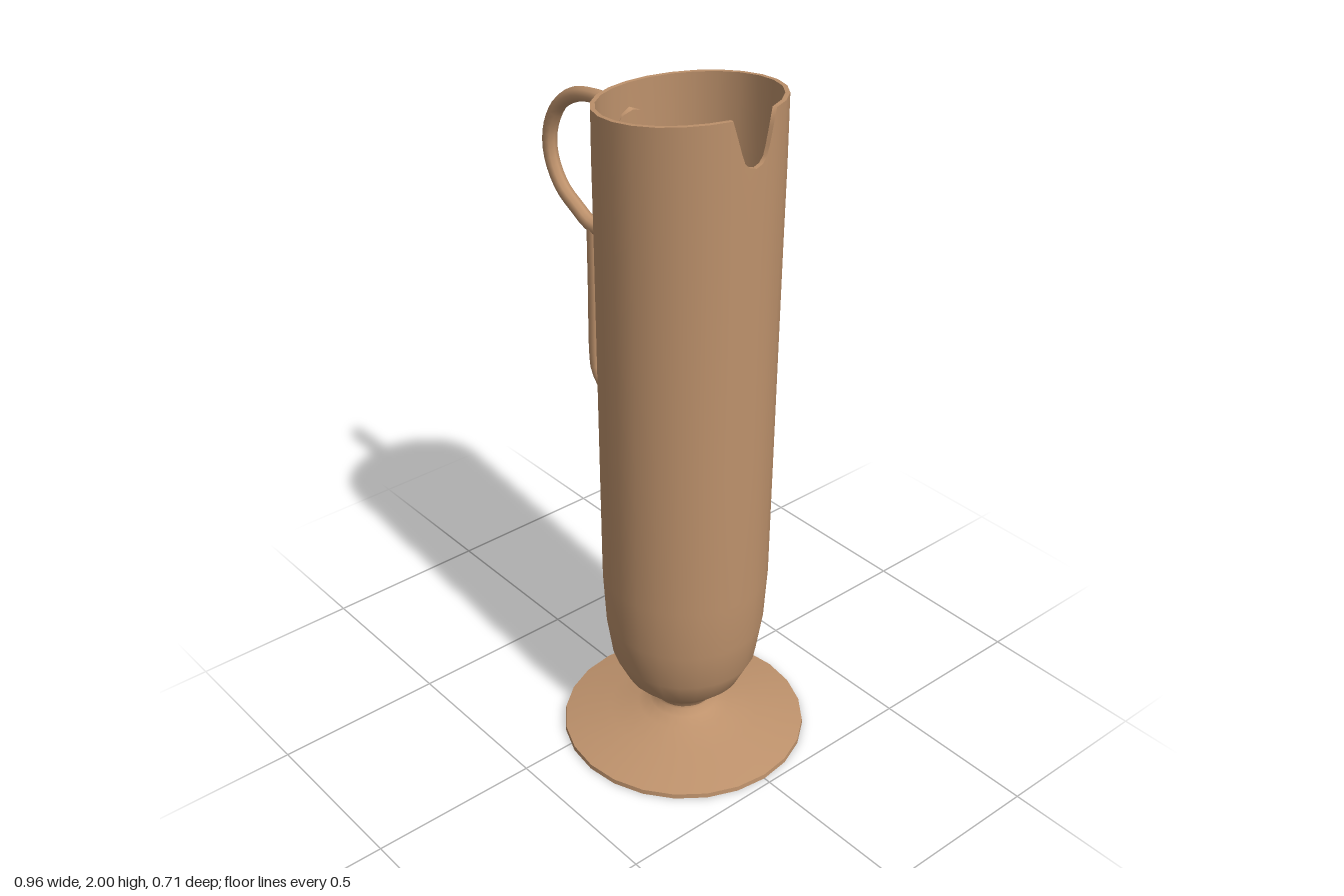
import * as THREE from 'three';

const AXIS_X = 0.122; // vessel axis; the handle fills the other side
const RIM_R = 0.246;
const TOP = 2; // profile height that stands for "follow the rim"

// Pouring notch outline: [half width, height]
const NOTCH = [[0, 1.865], [0.02, 1.871], [0.035, 1.885], [0.044, 1.91], [0.057, 1.955], [0.07, 2.0]];

// Angles round the axis, measured from +x: dense in the notch, 15 degrees elsewhere
const notchAngles = NOTCH.map(([w]) => Math.asin(w / RIM_R));
const ANGLES = [...notchAngles];
for (let d = 30; d <= 330; d += 15) ANGLES.push(THREE.MathUtils.degToRad(d));
for (let i = NOTCH.length - 1; i >= 0; i--) ANGLES.push(Math.PI * 2 - notchAngles[i]);

// Height of the rim in a given column: notch outline or slanted cut
function rimHeight(col) {
  const k = Math.min(col, ANGLES.length - 1 - col);
  if (k < NOTCH.length) return NOTCH[k][1];
  return 1.973 + 0.116 * RIM_R * Math.cos(ANGLES[col]);
}

// Lathe whose columns sit at ANGLES and whose top row follows the rim
function spin(profile) {
  const pts = profile.map(([r, y]) => new THREE.Vector2(r, y));
  const g = new THREE.LatheGeometry(pts, ANGLES.length - 1);
  const pos = g.attributes.position, nor = g.attributes.normal;
  for (let i = 0; i < pos.count; i++) {
    const col = Math.floor(i / pts.length);
    const [r, y] = profile[i % pts.length];
    const s = Math.sin(ANGLES[col] + Math.PI / 2), c = Math.cos(ANGLES[col] + Math.PI / 2);
    const n = Math.hypot(nor.getX(i), nor.getZ(i));
    pos.setXYZ(i, r * s, y === TOP ? rimHeight(col) : y, r * c);
    const sign = profile.inward ? -1 : 1;
    nor.setXYZ(i, sign * n * s, nor.getY(i), sign * n * c);
  }
  return g;
}

// Planar rod that flares where it meets the wall
function rod(points, radius, flare, segments) {
  const curve = new THREE.CatmullRomCurve3(points.map(([x, y]) => new THREE.Vector3(x, y, 0)), false, 'centripetal');
  const sides = 8;
  const g = new THREE.TubeGeometry(curve, segments, 1, sides, false);
  const pos = g.attributes.position, p = new THREE.Vector3();
  for (let i = 0; i < pos.count; i++) {
    const c = curve.getPointAt(Math.floor(i / (sides + 1)) / segments);
    const t = THREE.MathUtils.clamp((c.x + 0.19) / 0.07, 0, 1);
    p.fromBufferAttribute(pos, i).sub(c).multiplyScalar(radius + flare * t * t).add(c);
    pos.setXYZ(i, p.x, p.y, p.z);
  }
  return g;
}

export function createModel() {
  const model = new THREE.Group();
  const clay = new THREE.MeshStandardMaterial({ color: 0xbe926c });
  clay.name = 'clay brown';

  const add = (name, geometry, x = 0) => {
    const mesh = new THREE.Mesh(geometry, clay);
    mesh.name = name;
    mesh.position.x = x;
    model.add(mesh);
  };

  // Foot: flat underside, thin edge, then the gentle cone
  const foot = (profile) => new THREE.LatheGeometry(profile.map(([r, y]) => new THREE.Vector2(r, y)), 24);
  add('footUnderside', foot([[0, 0], [0.357, 0]]), AXIS_X);
  add('footEdge', foot([[0.357, 0], [0.356, 0.014]]), AXIS_X);
  add('footTop', foot([[0.356, 0.014], [0.3, 0.028], [0.22, 0.046], [0.135, 0.066], [0.1, 0.083], [0.084, 0.1], [0.083, 0.112]]), AXIS_X);

  // Tall body, outside
  add('bodyOuter', spin([[0.083, 0.108], [0.092, 0.128], [0.128, 0.158], [0.172, 0.202], [0.21, 0.28],
    [0.228, 0.4], [0.237, 0.56], [0.24, 1.0], [0.244, 1.6], [0.246, 1.8], [RIM_R, TOP]]), AXIS_X);

  // Hollow inside, from rim down to the rounded floor
  const inner = [[0.234, TOP], [0.234, 1.8], [0.232, 1.6], [0.229, 1.0], [0.226, 0.56], [0.216, 0.4],
    [0.198, 0.29], [0.16, 0.215], [0.09, 0.17], [0, 0.155]];
  inner.inward = true;
  add('bodyInner', spin(inner), AXIS_X);

  // Rim strip joining both walls, through the notch too
  const rim = spin([[RIM_R, TOP], [0.234, TOP]]);
  rim.computeVertexNormals();
  add('rim', rim, AXIS_X);

  // Handle: round finger loop above, post with a bent foot below
  add('handleLoop', rod([[-0.112, 1.838], [-0.15, 1.855], [-0.2, 1.866], [-0.26, 1.865], [-0.34, 1.845],
    [-0.41, 1.795], [-0.452, 1.715], [-0.455, 1.65], [-0.437, 1.6], [-0.4, 1.553], [-0.34, 1.517],
    [-0.285, 1.49], [-0.2, 1.486], [-0.112, 1.488]], 0.021, 0.021, 36), 0);
  add('handlePost', rod([[-0.269, 1.49], [-0.269, 1.3], [-0.269, 1.08], [-0.262, 1.04], [-0.228, 1.0],
    [-0.18, 0.988], [-0.112, 0.98]], 0.02, 0.012, 24), 0);

  return model;
}
